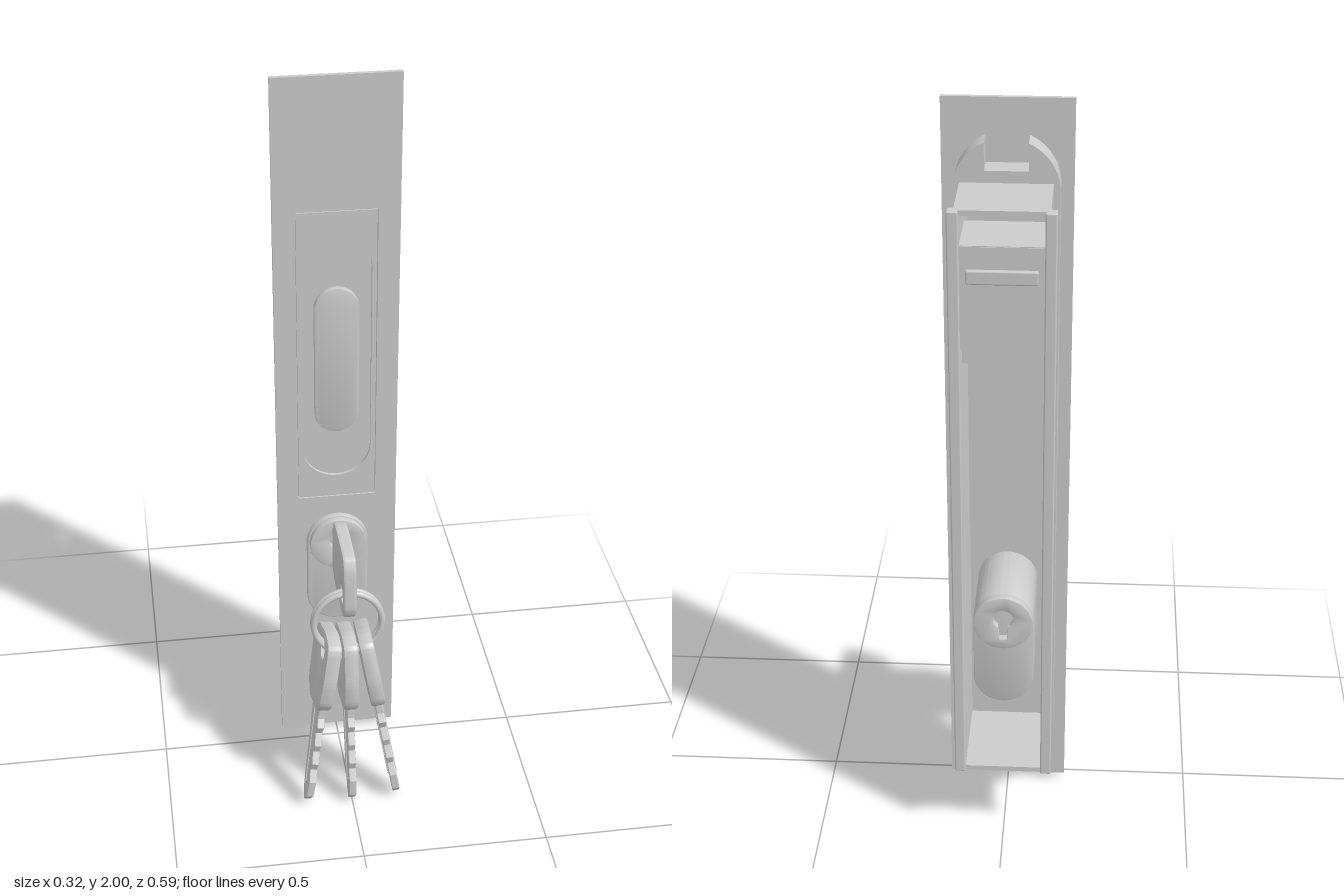
import * as THREE from 'three';
import { RoundedBoxGeometry } from 'three/addons/geometries/RoundedBoxGeometry.js';
import { toCreasedNormals } from 'three/addons/utils/BufferGeometryUtils.js';

const mat = new THREE.MeshStandardMaterial({ color: 0xcccccc, side: THREE.DoubleSide });

function add(parent, name, geometry) {
  const mesh = new THREE.Mesh(geometry, mat);
  mesh.name = name;
  parent.add(mesh);
  return mesh;
}

// Box given by its limits on each axis
function box(parent, name, x0, x1, y0, y1, z0, z1, r = 0) {
  const s = [x1 - x0, y1 - y0, z1 - z0];
  const g = r ? new RoundedBoxGeometry(...s, 2, r) : new THREE.BoxGeometry(...s);
  const mesh = add(parent, name, g);
  mesh.position.set((x0 + x1) / 2, (y0 + y1) / 2, (z0 + z1) / 2);
  return mesh;
}

// Extrusion of a front-facing outline from z0 to z1
function slab(shape, z0, z1, bevel = 0) {
  const g = new THREE.ExtrudeGeometry(shape, {
    depth: z1 - z0 - 2 * bevel, curveSegments: 20, bevelEnabled: bevel > 0,
    bevelThickness: bevel, bevelSize: bevel, bevelOffset: -bevel, bevelSegments: 2,
  });
  g.translate(0, 0, z0 + bevel);
  return toCreasedNormals(g, 0.5);
}

function trace(Type, points) {
  return new Type(points.map(([x, y]) => new THREE.Vector2(x, y)));
}

function rect(Type, w, y0, y1) {
  return trace(Type, [[-w, y0], [w, y0], [w, y1], [-w, y1]]);
}

// Upright slot outline with round ends
function slot(Type, r, y0, y1) {
  const s = new Type();
  s.absarc(0, y1 - r, r, 0, Math.PI, false);
  s.absarc(0, y0 + r, r, Math.PI, Math.PI * 2, false);
  s.closePath();
  return s;
}

function circle(Type, x, y, r) {
  const s = new Type();
  s.absarc(x, y, r, 0, Math.PI * 2, false);
  return s;
}

// Outline in the (z, y) plane, given thickness along x
function sideSlab(shape, thickness, bevel = 0.006) {
  return slab(shape, -thickness / 2, thickness / 2, bevel).rotateY(-Math.PI / 2);
}

// Closed outline with each corner rounded off
function softShape(points, t = 0.25) {
  const v = points.map(([x, y]) => new THREE.Vector2(x, y));
  const s = new THREE.Shape();
  v.forEach((p, i) => {
    const a = p.clone().lerp(v[(i + v.length - 1) % v.length], t);
    const b = p.clone().lerp(v[(i + 1) % v.length], t);
    if (i) s.lineTo(a.x, a.y); else s.moveTo(a.x, a.y);
    s.quadraticCurveTo(p.x, p.y, b.x, b.y);
  });
  s.closePath();
  return s;
}

// Hanging key with its hole at the origin
function hangingKey(name) {
  const key = new THREE.Group();
  key.name = name;
  const bow = softShape([[0.062, 0.05], [0, 0.055], [-0.105, 0.02], [-0.128, -0.05],
    [-0.092, -0.165], [-0.04, -0.192], [0.06, -0.165], [0.084, -0.13], [0.086, -0.06]]);
  bow.holes.push(circle(THREE.Path, 0, 0, 0.025));
  add(key, 'keyBow', sideSlab(bow, 0.04, 0.008));
  const blade = trace(THREE.Shape, [[-0.04, -0.17], [0.06, -0.15], [0.062, -0.19], [0.078, -0.21],
    [0.068, -0.235], [0.088, -0.265], [0.08, -0.29], [0.1, -0.32], [0.092, -0.345], [0.112, -0.375],
    [0.112, -0.425], [0.085, -0.457], [0.062, -0.44], [0.045, -0.4]]);
  add(key, 'keyBlade', sideSlab(blade, 0.02, 0.003));
  // Raised rib along the blade
  const rib = trace(THREE.Shape, [[-0.01, -0.18], [0.012, -0.18], [0.075, -0.4], [0.058, -0.4]]);
  add(key, 'keyRib', sideSlab(rib, 0.026, 0.002));
  return key;
}

export function createModel() {
  const model = new THREE.Group();
  model.name = 'slidingDoorLock';

  // Face plate with a window for the pull insert
  const plate = rect(THREE.Shape, 0.16, 0.02, 2);
  plate.holes.push(rect(THREE.Path, 0.104, 0.814, 1.651));
  add(model, 'facePlate', slab(plate, -0.04, -0.028));

  // Finger pull: frame, shallow dish and raised centre
  const insert = rect(THREE.Shape, 0.102, 0.816, 1.649);
  insert.holes.push(slot(THREE.Path, 0.09, 0.88, 1.585));
  add(model, 'pullFrame', slab(insert, -0.046, -0.029));
  add(model, 'pullDish', slab(rect(THREE.Shape, 0.103, 0.815, 1.65), -0.055, -0.038));
  add(model, 'pullCentre', slab(slot(THREE.Shape, 0.058, 1.02, 1.44), -0.04, -0.022, 0.003));

  // Round-ended mounting base, notched at the top
  const base = new THREE.Shape();
  const r = 0.128, notch = 0.053, a = Math.acos(notch / r), cy = 1.92 - r;
  base.absarc(0, 0.09 + r, r, Math.PI, Math.PI * 2, false);
  base.absarc(0, cy, r, 0, a, false);
  base.lineTo(notch, 1.84);
  base.lineTo(-notch, 1.84);
  base.absarc(0, cy, r, Math.PI - a, Math.PI, false);
  base.closePath();
  base.holes.push(rect(THREE.Path, 0.1, 0.228, 1.797));
  add(model, 'mountingBase', slab(base, -0.102, -0.039));

  // Open-backed housing; each side wall has a window and a rear lip
  const wall = trace(THREE.Shape, [[-0.29, 0.215], [-0.1, 0.215], [-0.1, 1.81], [-0.29, 1.81]]);
  wall.holes.push(trace(THREE.Path, [[-0.265, 1.465], [-0.163, 1.465], [-0.163, 1.71], [-0.265, 1.71]]));
  for (const s of [1, -1]) {
    add(model, 'housingWall', sideSlab(wall, 0.012, 0)).position.x = s * 0.106;
    box(model, 'housingLip', s * 0.114 - 0.014, s * 0.114 + 0.014, 0.215, 1.81, -0.296, -0.266, 0.004);
  }
  box(model, 'housingTop', -0.11, 0.11, 1.797, 1.81, -0.285, -0.1);
  box(model, 'housingBottom', -0.11, 0.11, 0.215, 0.228, -0.285, -0.1);

  // Latch carrier behind the windows
  box(model, 'latchPanel', -0.1, 0.1, 1.46, 1.72, -0.282, -0.267);
  box(model, 'latchTop', -0.1, 0.1, 1.711, 1.722, -0.28, -0.12);
  box(model, 'latchSlider', -0.085, 0.085, 1.63, 1.665, -0.294, -0.28, 0.004);
  box(model, 'latchBar', -0.1, 0.1, 1.625, 1.67, -0.265, -0.163);
  box(model, 'latchBlade', -0.1, 0.1, 1.4, 1.63, -0.232, -0.202);

  // Lock cylinder through the whole depth
  add(model, 'cylinderCollar', slab(slot(THREE.Shape, 0.083, 0.415, 0.758), -0.04, -0.012, 0.004));
  add(model, 'cylinderBody', slab(slot(THREE.Shape, 0.078, 0.42, 0.755), -0.252, -0.03, 0.004));

  // Plug face with a keyhole; the same ring serves front and rear
  const keyhole = new THREE.Path();
  keyhole.absarc(0, 0.69, 0.026, -Math.PI / 3, Math.PI * 4 / 3, false);
  keyhole.lineTo(-0.01, 0.63);
  keyhole.lineTo(0.01, 0.63);
  keyhole.closePath();
  for (const [name, z0, z1] of [['frontPlug', -0.02, 0.006], ['rearPlug', -0.272, -0.245]]) {
    const ring = circle(THREE.Shape, 0, 0.678, 0.077);
    ring.holes.push(keyhole);
    add(model, name, slab(ring, z0, z1, 0.003));
  }

  // Key in the lock
  const bow = softShape([[0.005, 0.715], [0.02, 0.765], [0.06, 0.776], [0.21, 0.776], [0.225, 0.73],
    [0.232, 0.62], [0.215, 0.585], [0.05, 0.585], [0.015, 0.605], [0.005, 0.64]]);
  bow.holes.push(circle(THREE.Path, 0.18, 0.645, 0.027));
  add(model, 'insertedKeyBow', sideSlab(bow, 0.036, 0.008));
  box(model, 'insertedKeyBlade', -0.008, 0.008, 0.635, 0.705, -0.1, 0.02);

  // Split ring of two turns
  const splitRing = new THREE.Group();
  splitRing.name = 'splitRing';
  for (const z of [-0.008, 0.008]) {
    add(splitRing, 'ringTurn', new THREE.TorusGeometry(0.092, 0.008, 10, 48)).position.z = z;
  }
  splitRing.position.set(0, 0.548, 0.18);
  splitRing.rotation.x = -0.07;
  model.add(splitRing);

  // Three keys fanned out on the ring
  for (const s of [-1, 0, 1]) {
    const key = hangingKey(s ? 'sideKey' : 'middleKey');
    key.position.set(s * 0.05, s ? 0.462 : 0.458, 0.185);
    key.rotation.z = s * 0.165;
    model.add(key);
  }
  return model;
}
